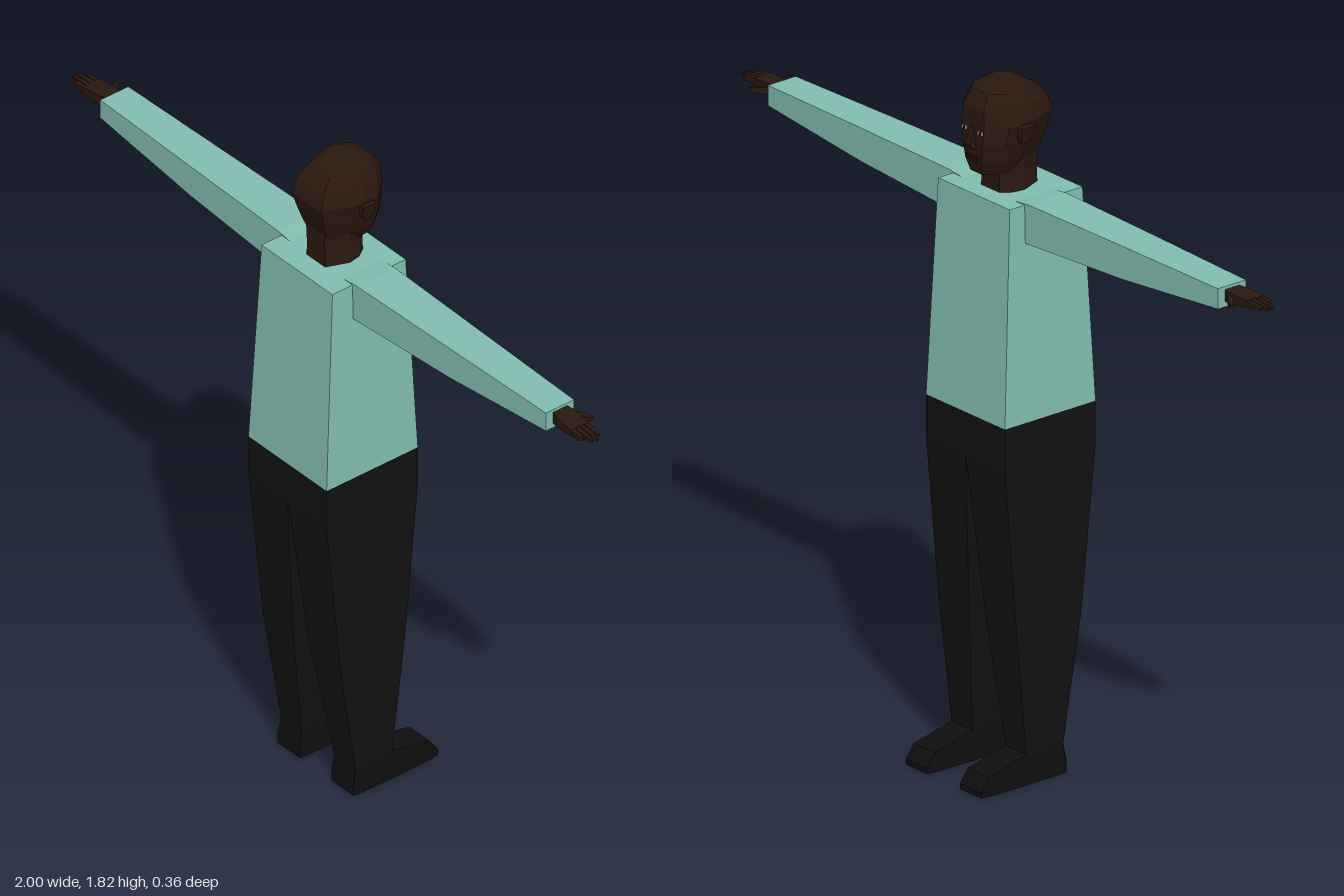
import * as THREE from 'three';

const material = (color) => new THREE.MeshStandardMaterial({ color, flatShading: true });

// Capped faceted solid through cross-sections of equal point count; oriented outwards by its volume.
function loft(rings, mirror = 1) {
  const r = rings.map((ring) => ring.map(([x, y, z]) => new THREE.Vector3(x * mirror, y, z)));
  const n = r[0].length;
  const tris = [];
  for (let i = 0; i < r.length - 1; i++) {
    for (let j = 0; j < n; j++) {
      const k = (j + 1) % n;
      tris.push([r[i][j], r[i][k], r[i + 1][k]], [r[i][j], r[i + 1][k], r[i + 1][j]]);
    }
  }
  const last = r[r.length - 1];
  for (let j = 1; j < n - 1; j++) {
    tris.push([r[0][0], r[0][j + 1], r[0][j]], [last[0], last[j], last[j + 1]]);
  }
  const c = r[0][0];
  const cross = new THREE.Vector3();
  const volume = tris.reduce((sum, [a, b, d]) =>
    sum + cross.crossVectors(b.clone().sub(c), d.clone().sub(c)).dot(a.clone().sub(c)), 0);
  const points = tris.flatMap(([a, b, d]) => (volume < 0 ? [a, d, b] : [a, b, d]));
  const geometry = new THREE.BufferGeometry().setFromPoints(points);
  geometry.computeVertexNormals();
  return geometry;
}

// Rectangular section at height y.
const level = (y, x0, x1, z0, z1) => [[x0, y, z0], [x1, y, z0], [x1, y, z1], [x0, y, z1]];
// Rectangular section across the arm at distance x.
const slice = (x, y0, y1, z0, z1) => [[x, y0, z0], [x, y1, z0], [x, y1, z1], [x, y0, z1]];
// Eight-sided head section: half width w, widest near the middle, narrower face and back.
function headRing(y, w, front, back, faceW = 0.45, backW = 0.6) {
  const d = back - front;
  const half = [[w * faceW, front], [w * 0.9, front + d * 0.22], [w, front + d * 0.5], [w * backW, back]];
  return [
    ...half.map(([x, z]) => [x, y, z]),
    ...half.reverse().map(([x, z]) => [-x, y, z]),
  ];
}

export function createModel() {
  const model = new THREE.Group();
  model.name = 'person';
  const skin = material(0x2a180f);
  const shirt = material(0x82bdb1);
  const trousers = material(0x111111);
  const shoes = material(0x0e0e0e);
  const white = material(0xcfcac4);
  const lipColor = material(0x1c0d09);

  const add = (parent, name, geometry, mat) => {
    const mesh = new THREE.Mesh(geometry, mat);
    mesh.name = name;
    parent.add(mesh);
    return mesh;
  };

  // Shirt body, tapering to the shoulders
  add(model, 'torso', loft([
    level(0.96, -0.15, 0.15, -0.11, 0.18),
    level(1.53, -0.136, 0.136, -0.083, 0.15),
  ]), shirt);

  // Head and neck
  const head = new THREE.Group();
  head.name = 'head';
  model.add(head);
  add(head, 'neck', loft([
    headRing(1.51, 0.06, -0.03, 0.09, 0.6, 0.6),
    headRing(1.57, 0.057, -0.03, 0.09, 0.6, 0.6),
    headRing(1.64, 0.06, -0.03, 0.092, 0.6, 0.6),
  ]), skin);
  add(head, 'skull', loft([
    headRing(1.585, 0.05, -0.075, 0.055),
    headRing(1.62, 0.068, -0.085, 0.09),
    headRing(1.665, 0.083, -0.088, 0.105),
    headRing(1.72, 0.096, -0.086, 0.12),
    headRing(1.762, 0.086, -0.084, 0.108),
    headRing(1.798, 0.067, -0.064, 0.08),
    headRing(1.816, 0.038, -0.025, 0.045),
  ]), skin);
  add(head, 'nose', loft([
    level(1.655, -0.014, 0.014, -0.098, -0.08),
    level(1.668, -0.011, 0.011, -0.104, -0.08),
    level(1.71, -0.005, 0.005, -0.089, -0.08),
  ]), skin);
  add(head, 'mouth', new THREE.BoxGeometry(0.04, 0.012, 0.01).translate(0, 1.628, -0.086), lipColor);

  for (const s of [1, -1]) {
    // The figure faces -z, so its own left is on the -x side
    const side = s < 0 ? 'left' : 'right';

    // Face details
    add(head, `${side}Ear`, loft([
      level(1.67, 0.075, 0.094, -0.008, 0.014),
      level(1.69, 0.08, 0.1, -0.016, 0.024),
      level(1.715, 0.085, 0.105, -0.016, 0.026),
      level(1.722, 0.085, 0.1, -0.008, 0.018),
    ], s), skin);
    add(head, `${side}Eye`, new THREE.BoxGeometry(0.018, 0.008, 0.006).translate(s * 0.03, 1.7, -0.086), white);
    add(head, `${side}Pupil`, new THREE.BoxGeometry(0.007, 0.008, 0.007).translate(s * 0.03, 1.7, -0.087), trousers);

    // Sleeve
    add(model, `${side}Sleeve`, loft([
      slice(0.1, 1.428, 1.53, -0.036, 0.087),
      slice(0.15, 1.43, 1.535, -0.035, 0.086),
      slice(0.5, 1.446, 1.534, -0.028, 0.077),
      slice(0.855, 1.478, 1.532, -0.022, 0.067),
    ], s), shirt);

    // Hand: palm, four fingers and a thumb
    const hand = new THREE.Group();
    hand.name = `${side}Hand`;
    model.add(hand);
    add(hand, 'palm', loft([
      slice(0.84, 1.492, 1.524, 0.002, 0.042),
      slice(0.875, 1.494, 1.524, -0.004, 0.05),
      slice(0.938, 1.503, 1.52, 0, 0.056),
    ], s), skin);
    [[0.007, 0.985], [0.021, 1.0], [0.035, 0.997], [0.049, 0.975]].forEach(([z, tip], i) => {
      add(hand, `finger${i + 1}`, loft([
        slice(0.93, 1.504, 1.519, z - 0.006, z + 0.006),
        slice(0.965, 1.505, 1.517, z - 0.006, z + 0.006),
        slice(tip, 1.507, 1.513, z - 0.003, z + 0.003),
      ], s), skin);
    });
    add(hand, 'thumb', loft([
      slice(0.87, 1.498, 1.518, -0.006, 0.014),
      slice(0.893, 1.498, 1.514, -0.022, -0.006),
      slice(0.916, 1.5, 1.509, -0.033, -0.024),
    ], s), skin);

    // Trouser leg
    add(model, `${side}Leg`, loft([
      level(0.96, 0, 0.15, -0.11, 0.18),
      level(0.85, 0, 0.15, -0.11, 0.18),
      level(0.42, 0.031, 0.148, -0.072, 0.137),
      level(0.07, 0.064, 0.142, -0.034, 0.082),
    ], s), trousers);

    // Shoe, running from heel to toe
    const shoeSlice = (z, w, top, topW = w) => [
      [0.103 - w, 0, z], [0.103 + w, 0, z], [0.103 + topW, top, z], [0.103 - topW, top, z],
    ];
    add(model, `${side}Shoe`, loft([
      shoeSlice(0.091, 0.042, 0.03),
      shoeSlice(0.082, 0.045, 0.08, 0.039),
      shoeSlice(-0.036, 0.047, 0.077, 0.039),
      shoeSlice(-0.155, 0.045, 0.05, 0.04),
      shoeSlice(-0.18, 0.04, 0.015),
    ], s), shoes);
  }
  return model;
}
